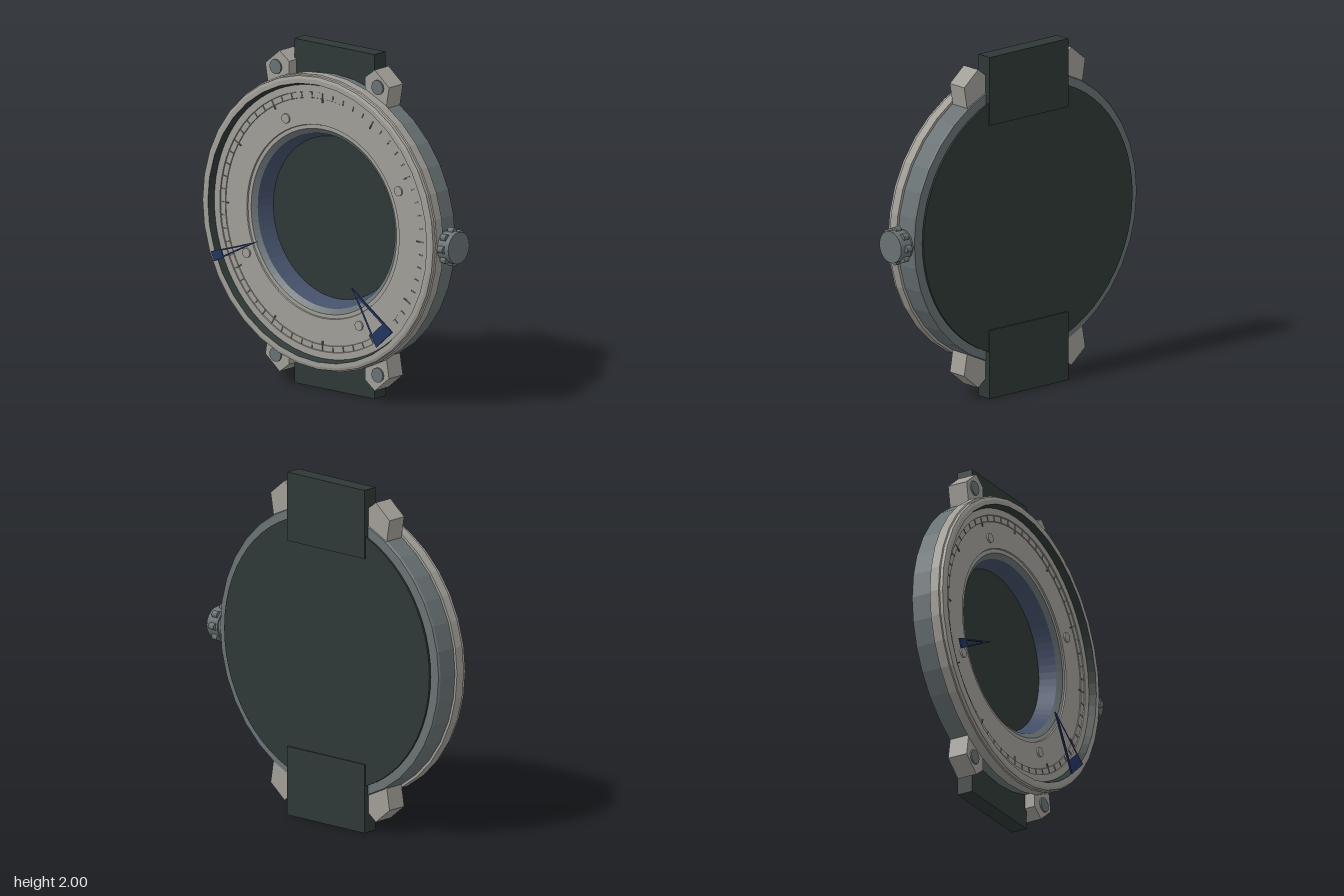
import * as THREE from 'three';

const CX = -0.04, CY = 1; // centre of the round case

const mat = (name, color) => {
  const m = new THREE.MeshStandardMaterial({ color });
  m.name = name;
  return m;
};

export function createModel() {
  const warm = mat('warm steel', 0xa09d96);
  const gray = mat('dark steel', 0x687173);
  const dark = mat('charcoal', 0x2e3836);
  const slate = mat('slate blue', 0x434f68);
  const navy = mat('navy', 0x22335f);

  const model = new THREE.Group();
  model.name = 'wristwatch';
  const body = new THREE.Group();
  body.name = 'watchBody';
  body.position.set(CX, CY, 0);
  model.add(body);

  const add = (parent, name, geometry, material, x = 0, y = 0, z = 0) => {
    const mesh = new THREE.Mesh(geometry, material);
    mesh.name = name;
    mesh.position.set(x, y, z);
    parent.add(mesh);
    return mesh;
  };

  // Faceted ring turned about the z axis; profile is [radius, z]
  const turned = (name, profile, material, segments) => {
    const lathe = new THREE.LatheGeometry(profile.map(p => new THREE.Vector2(...p)), segments);
    const g = lathe.toNonIndexed().rotateX(Math.PI / 2);
    g.computeVertexNormals();
    return add(body, name, g, material);
  };

  const disc = (r, depth, segments) =>
    new THREE.CylinderGeometry(r, r, depth, segments).rotateX(Math.PI / 2);

  const plate = (points, depth, hole) => {
    const shape = new THREE.Shape(points.map(p => new THREE.Vector2(...p)));
    if (hole) shape.holes.push(new THREE.Path(hole.map(p => new THREE.Vector2(...p))));
    return new THREE.ExtrudeGeometry(shape, { depth, bevelEnabled: false });
  };

  // Case, bezel and back
  turned('caseBand', [[0.47, -0.115], [0.835, -0.115], [0.842, -0.105], [0.842, 0.016]], gray, 36);
  turned('bezel', [[0.8, 0.015], [0.857, 0.015], [0.857, 0.072], [0.85, 0.076],
    [0.848, 0.094], [0.832, 0.1], [0.805, 0.1]], warm, 36);
  turned('bezelInnerWall', [[0.805, 0.1], [0.79, 0.06]], dark, 72);
  add(body, 'backPlate', disc(0.785, 0.012, 64), dark, 0, 0, -0.131);

  // Dial ring, stepping down into the central well
  turned('dial', [[0.79, 0.06], [0.75, 0.06], [0.748, 0.054], [0.715, 0.054], [0.713, 0.05],
    [0.56, 0.05], [0.557, 0.042], [0.535, 0.042]], warm, 72);
  turned('wellRim', [[0.535, 0.042], [0.505, 0.02]], gray, 72);
  turned('wellWall', [[0.505, 0.02], [0.47, -0.075]], slate, 72);
  add(body, 'wellFloor', disc(0.472, 0.01, 64), dark, 0, 0, -0.08);

  // Minute ticks, longer at every fifth
  for (let i = 0; i < 60; i++) {
    const a = (i / 60) * Math.PI * 2;
    const length = i % 5 ? 0.034 : 0.058;
    const r = 0.75 - length / 2;
    const tick = add(body, 'minuteTick', new THREE.BoxGeometry(0.007, length, 0.008), gray,
      Math.sin(a) * r, Math.cos(a) * r, 0.053);
    tick.rotation.z = -a;
  }

  // Four studs on the dial
  for (let i = 0; i < 4; i++) {
    const a = 2.02 + (i * Math.PI) / 2;
    add(body, 'dialStud', disc(0.028, 0.02, 16), warm, Math.cos(a) * 0.62, Math.sin(a) * 0.62, 0.05);
  }

  // Lugs with screws, and straps
  for (const sy of [1, -1]) {
    for (const sx of [1, -1]) {
      const outline = [[0.28, 0.7], [0.43, 0.7], [0.455, 0.845], [0.35, 0.932], [0.28, 0.88]]
        .map(([x, y]) => [x * sx, y * sy]);
      add(body, 'lug', plate(outline, 0.122), warm, 0, 0, -0.109);
      add(body, 'lugScrew', disc(0.043, 0.02, 12), gray, 0.375 * sx, 0.835 * sy, 0.012);
    }
    add(body, 'strap', new THREE.BoxGeometry(0.59, 0.4, 0.095), dark, 0, 0.8 * sy, -0.0975);
  }

  // Crown with grip beads
  const crown = new THREE.Group();
  crown.name = 'crown';
  crown.position.set(0, 0.985, -0.025);
  model.add(crown);
  const knob = (name, r, x0, x1, segments, y = 0, z = 0) =>
    add(crown, name, new THREE.CylinderGeometry(r, r, x1 - x0, segments).rotateZ(Math.PI / 2),
      gray, (x0 + x1) / 2, y, z);
  knob('crownStem', 0.085, 0.76, 0.83, 20);
  knob('crownBody', 0.093, 0.815, 0.896, 20);
  for (let i = 0; i < 8; i++) {
    const a = (i / 8) * Math.PI * 2;
    knob('crownBead', 0.021, 0.828, 0.866, 8, Math.cos(a) * 0.092, Math.sin(a) * 0.092);
  }

  // Open-frame hands: tip, two outer corners, frame width ratio
  const hand = (name, tip, a, b, frame) => {
    const at = (t, s) => [0, 1].map(k => {
      const mid = (a[k] + b[k]) / 2, half = (a[k] - b[k]) / 2;
      return tip[k] + (mid - tip[k]) * t + half * s;
    });
    const t = 0.79;
    const hole = [at(frame, 0), at(t, t - frame), at(t, frame - t)];
    add(model, name, plate([tip, a, b], 0.009, hole), navy, 0, 0, 0.136);
  };
  hand('shortHand', [-0.442, 0.838], [-0.785, 0.727], [-0.762, 0.672], 0.28);
  hand('broadHand', [0.25, 0.68], [0.548, 0.471], [0.43, 0.365], 0.17);

  return model;
}
